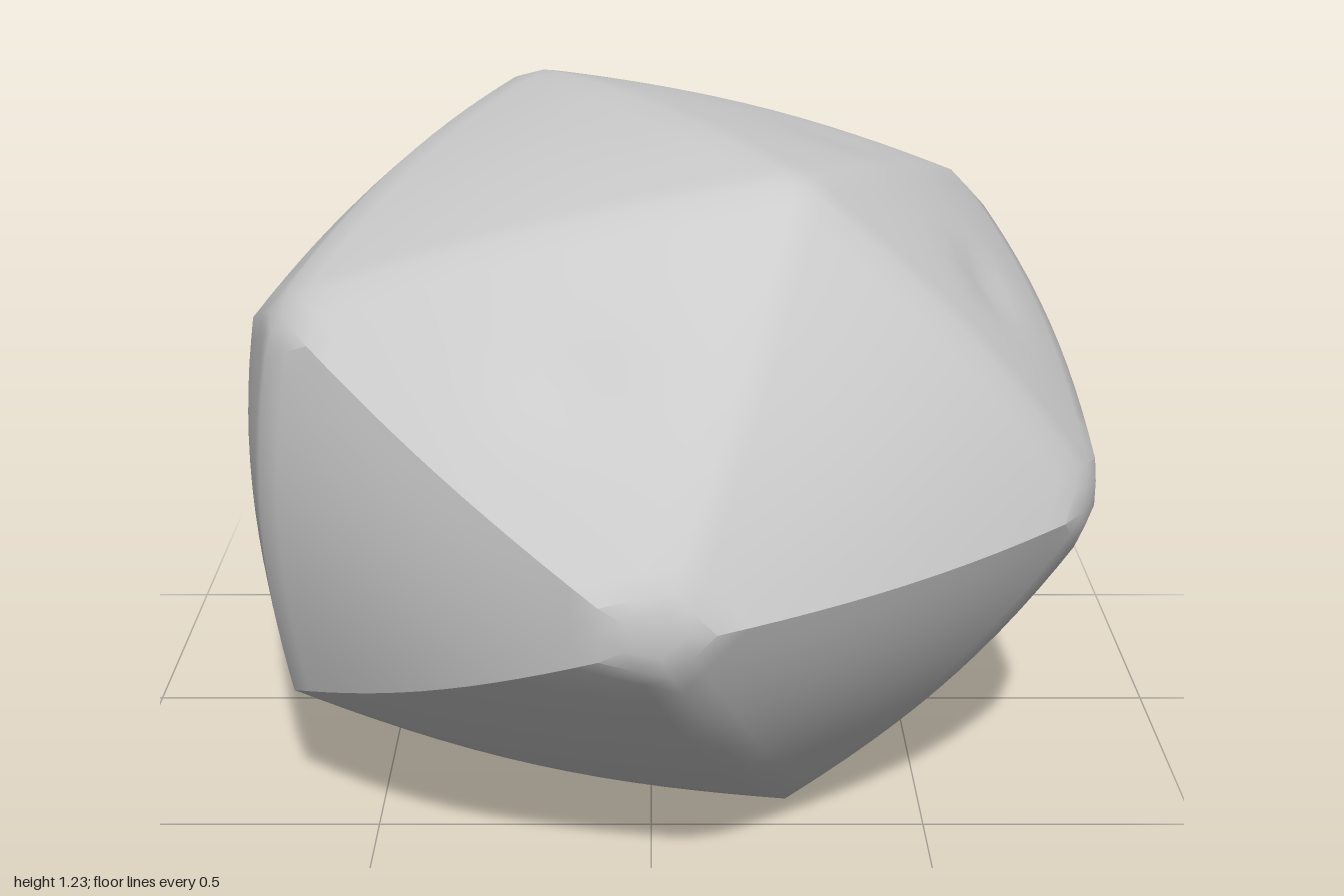
import * as THREE from 'three';
import { toCreasedNormals } from 'three/addons/utils/BufferGeometryUtils.js';

const SCALE = new THREE.Vector3(0.895, 0.69, 1.037);
const BULGE = 0.32; // 0 = flat facets, 1 = ellipsoid

export function createModel() {
  const group = new THREE.Group();

  // Icosahedron with its poles on the z axis
  const corners = [new THREE.Vector3(0, 0, 1)];
  const ring = (start, z) => {
    for (let i = 0; i < 5; i++) {
      const a = start + (i * Math.PI * 2) / 5;
      corners.push(new THREE.Vector3(0.8944 * Math.cos(a), 0.8944 * Math.sin(a), z));
    }
  };
  ring(0, 0.4472);
  ring(Math.PI / 5, -0.4472);
  corners.push(new THREE.Vector3(0, 0, -1));

  const faces = [];
  for (let i = 0; i < 5; i++) {
    const j = (i + 1) % 5;
    faces.push([0, 1 + i, 1 + j], [1 + i, 6 + i, 1 + j], [6 + i, 6 + j, 1 + j], [11, 6 + j, 6 + i]);
  }
  const normals = faces.map((f) =>
    f.reduce((s, k) => s.add(corners[k]), new THREE.Vector3()).normalize());

  // Worn corners: [corner index, height kept, slope left on the cut]
  const wear = [
    [0, 0.955, 0.2], [11, 0.963, 0], [1, 0.965, 0.1], [8, 0.965, 0.1],
    [2, 0.98, 0.2], [3, 0.97, 0.2], [6, 0.965, 0.2], [7, 0.98, 0.2],
  ];
  // Shallow dents: [x, y, z direction, depth, width]
  const dents = [
    [0.72, 0.5, 0.2, 0.022, 0.1], [0.62, 0.02, -0.72, 0.025, 0.1],
    [0.12, 0.6, -0.75, 0.015, 0.1], [-0.15, 0.5, 0.75, 0.015, 0.12],
    [0.45, 0.85, -0.1, 0.012, 0.15], [0, 1, 0, 0.008, 0.2],
    [-0.4, 0.75, -0.55, 0.012, 0.12],
  ].map(([x, y, z, depth, width]) => ({ dir: new THREE.Vector3(x, y, z).normalize(), depth, width }));

  // Rock surface: facets swollen towards a sphere, then worn and stretched
  const geometry = new THREE.PolyhedronGeometry(
    corners.flatMap((c) => c.toArray()), faces.flat(), 1, 15);
  const pos = geometry.attributes.position;
  const p = new THREE.Vector3();
  for (let i = 0; i < pos.count; i++) {
    p.fromBufferAttribute(pos, i).normalize();
    const flat = 0.7947 / Math.max(...normals.map((n) => n.dot(p)));
    let r = THREE.MathUtils.lerp(flat, 1, BULGE);
    for (const d of dents) {
      r -= d.depth * Math.exp(-p.distanceToSquared(d.dir) / (d.width * d.width));
    }
    p.multiplyScalar(r);
    for (const [k, keep, slope] of wear) {
      const over = p.dot(corners[k]) - keep;
      if (over > 0) p.addScaledVector(corners[k], -over * (1 - slope));
    }
    p.multiply(SCALE);
    pos.setXYZ(i, p.x, p.y + 0.62, p.z);
  }
  geometry.deleteAttribute('uv');
  geometry.computeBoundingBox();
  geometry.translate(0, -geometry.boundingBox.min.y, 0);

  const rock = new THREE.Mesh(
    toCreasedNormals(geometry, 0.6),
    new THREE.MeshStandardMaterial({ color: 0xcccccc }));
  rock.name = 'rock';
  group.add(rock);
  return group;
}
